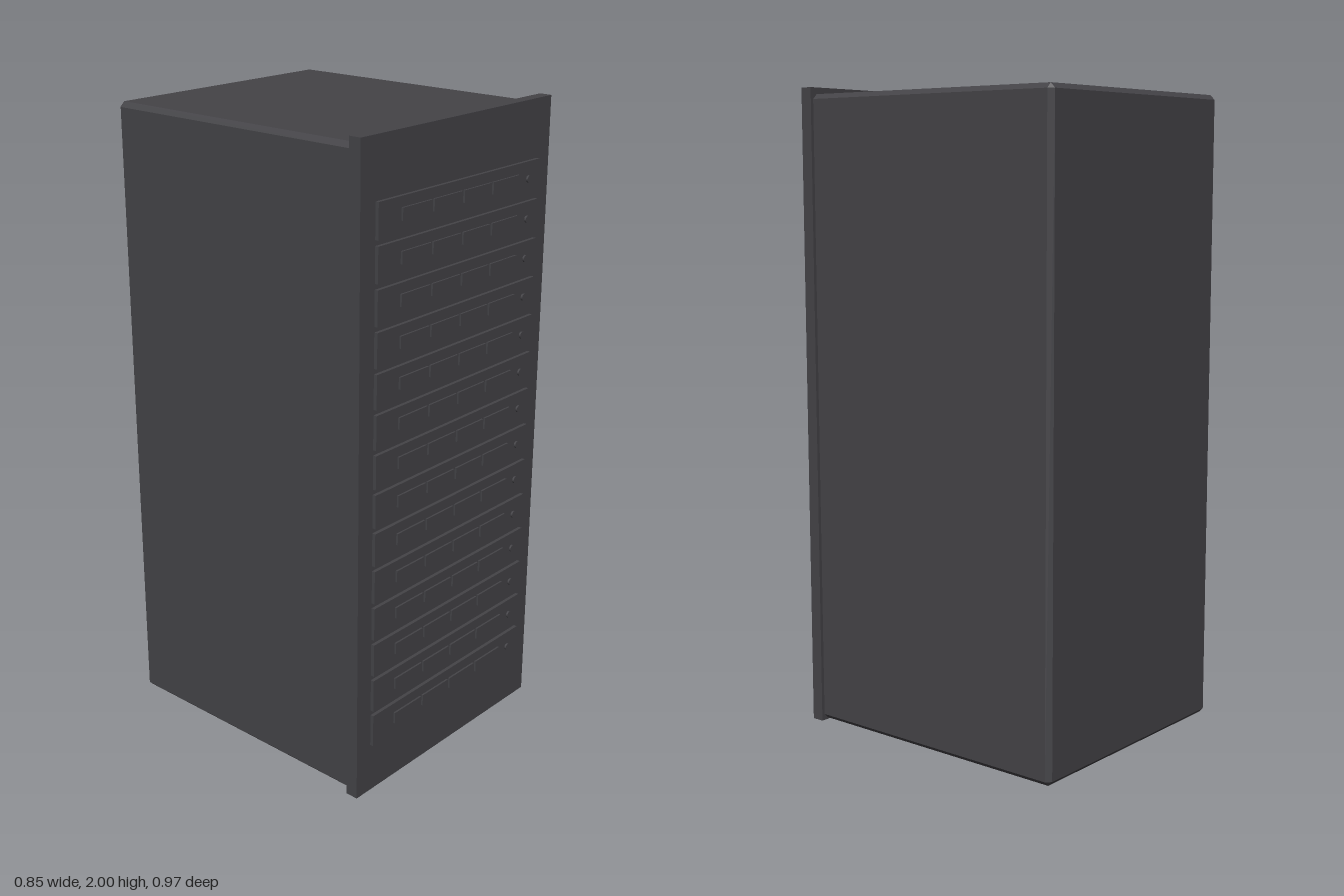
import * as THREE from 'three';
import { ConvexGeometry } from 'three/addons/geometries/ConvexGeometry.js';

// Box between two corners with every edge chamfered by c
function chamferedBox(min, max, c) {
  const points = [];
  for (const sx of [0, 1]) for (const sy of [0, 1]) for (const sz of [0, 1]) {
    const corner = [sx, sy, sz].map((s, i) => (s ? max[i] : min[i]));
    const inset = [sx, sy, sz].map((s, i) => corner[i] + (s ? -c : c));
    for (let axis = 0; axis < 3; axis++) {
      const p = inset.slice();
      p[axis] = corner[axis];
      points.push(new THREE.Vector3(...p));
    }
  }
  return new ConvexGeometry(points);
}

export function createModel() {
  const model = new THREE.Group();
  model.name = 'serverRack';
  const charcoal = new THREE.MeshStandardMaterial({ color: 0x444347 });
  charcoal.name = 'charcoal';

  function add(parent, name, geometry, x = 0, y = 0, z = 0) {
    const mesh = new THREE.Mesh(geometry, charcoal);
    mesh.name = name;
    mesh.position.set(x, y, z);
    parent.add(mesh);
    return mesh;
  }

  // Cabinet and the slightly larger front panel
  add(model, 'cabinet', chamferedBox([-0.416, 0.005, -0.487], [0.416, 1.98, 0.445], 0.015));
  add(model, 'frontPanel', new THREE.BoxGeometry(0.852, 2, 0.04), 0, 1, 0.448);

  // Stack of server units, each with four drive bays and a power button
  const face = new THREE.BoxGeometry(0.73, 0.104, 0.016);
  const bay = new THREE.BoxGeometry(0.126, 0.036, 0.012);
  const button = new THREE.CylinderGeometry(0.011, 0.011, 0.012, 12).rotateX(Math.PI / 2);
  for (let i = 0; i < 14; i++) {
    const unit = new THREE.Group();
    unit.name = `serverUnit${i + 1}`;
    unit.position.set(0, 0.212 + i * 0.12, 0);
    add(unit, 'unitFace', face, 0, 0, 0.471);
    for (let j = 0; j < 4; j++) {
      add(unit, `driveBay${j + 1}`, bay, -0.208 + j * 0.135, 0.003, 0.479);
    }
    add(unit, 'powerButton', button, 0.311, 0, 0.479);
    model.add(unit);
  }
  return model;
}
